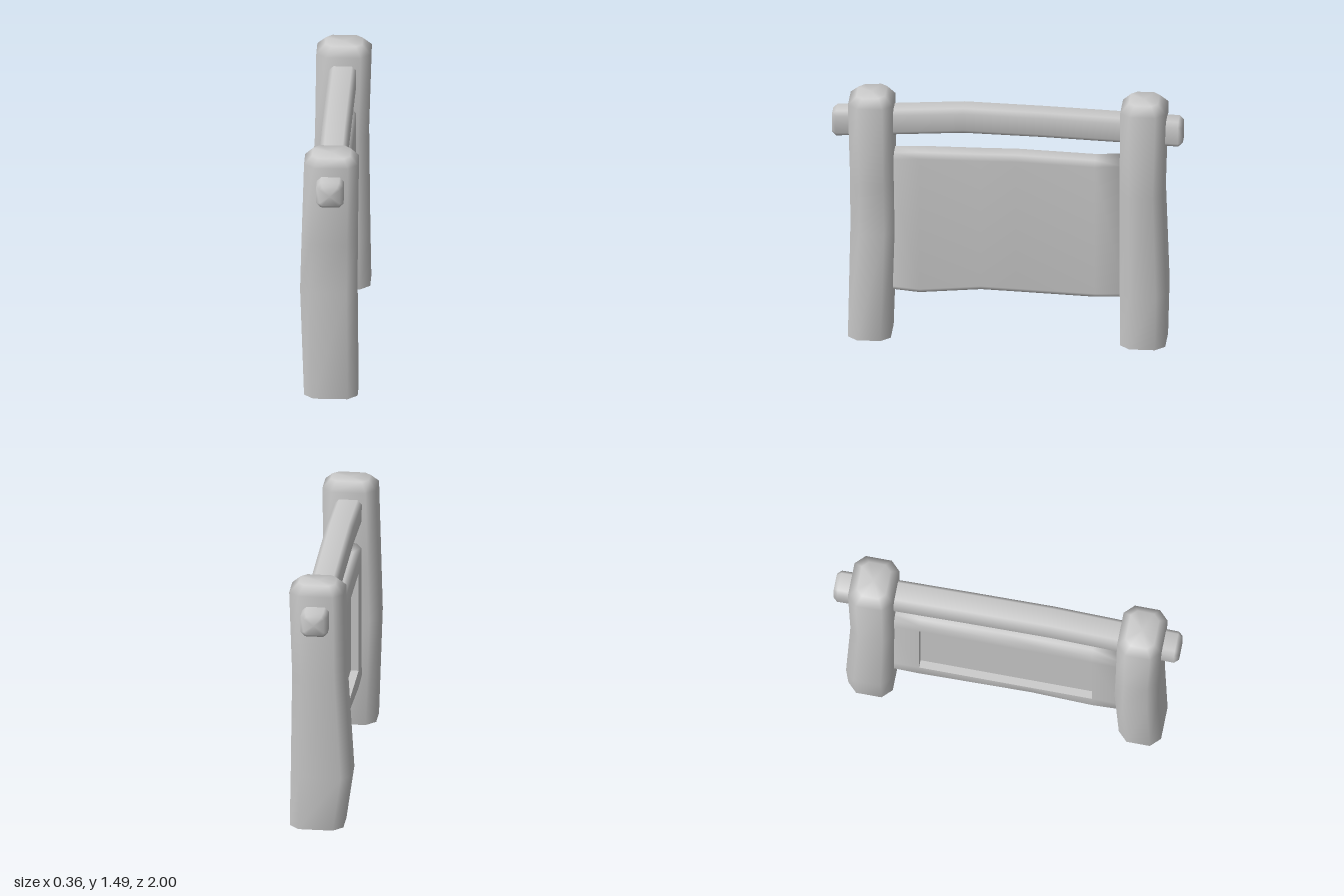
import * as THREE from 'three';

const material = new THREE.MeshStandardMaterial({ color: 0xcccccc, side: THREE.DoubleSide });

// Rectangle with cut corners, counter-clockwise in (u, v)
function octagon(u0, u1, v0, v1, c) {
  return [
    [u0 + c, v0], [u1 - c, v0], [u1, v0 + c], [u1, v1 - c],
    [u1 - c, v1], [u0 + c, v1], [u0, v1 - c], [u0, v0 + c],
  ];
}

// Skin a list of equal-length rings; optional end caps and skipped quads
function loft(rings, { capStart = false, capEnd = false, skip = () => false } = {}) {
  const n = rings[0].length;
  const points = rings.flat();
  const index = [];
  for (let i = 0; i < rings.length - 1; i++) {
    for (let j = 0; j < n; j++) {
      if (skip(i, j)) continue;
      const a = i * n + j, b = i * n + (j + 1) % n;
      index.push(a, b, b + n, a, b + n, a + n);
    }
  }
  const cap = (r, flip) => {
    const center = new THREE.Vector3();
    rings[r].forEach((p) => center.addScaledVector(p, 1 / n));
    const k = points.push(center) - 1;
    for (let j = 0; j < n; j++) {
      const a = r * n + j, b = r * n + (j + 1) % n;
      index.push(k, flip ? b : a, flip ? a : b);
    }
  };
  if (capStart) cap(0, true);
  if (capEnd) cap(rings.length - 1, false);
  const geometry = new THREE.BufferGeometry().setFromPoints(points);
  geometry.setIndex(index);
  geometry.computeVertexNormals();
  return geometry;
}

function part(name, geometry) {
  const mesh = new THREE.Mesh(geometry, material);
  mesh.name = name;
  return mesh;
}

// Upright post, open underneath; stations are [y, x0, x1, z0, z1, cut, tilt]
function post(name, stations) {
  const rings = stations.map(([y, x0, x1, z0, z1, c, tilt = 0]) =>
    octagon(z0, z1, x0, x1, c).map(([z, x]) =>
      new THREE.Vector3(x, y + tilt * (z - (z0 + z1) / 2), z)));
  return part(name, loft(rings, { capEnd: true }));
}

// Ring across the z axis
const acrossZ = (z, section) => section.map(([x, y]) => new THREE.Vector3(x, y, z));

export function createModel() {
  const group = new THREE.Group();
  group.name = 'woodenSignFrame';
  const X0 = -0.06, X1 = 0.095;

  // Two slightly crooked posts with bevelled tops
  group.add(post('frontPost', [
    [0, -0.135, 0.17, 0.66, 0.905, 0.055],
    [0.65, -0.158, 0.163, 0.64, 0.892, 0.055],
    [0.95, -0.15, 0.165, 0.645, 0.892, 0.055],
    [1.43, -0.135, 0.172, 0.65, 0.905, 0.055],
    [1.477, -0.09, 0.127, 0.695, 0.86, 0.035, -0.06],
  ]));
  group.add(post('backPost', [
    [0, -0.135, 0.172, -0.905, -0.648, 0.055],
    [0.32, -0.18, 0.166, -0.91, -0.645, 0.055],
    [0.93, -0.142, 0.16, -0.892, -0.643, 0.055],
    [1.435, -0.135, 0.175, -0.908, -0.648, 0.055],
    [1.485, -0.085, 0.125, -0.86, -0.695, 0.035],
  ]));

  // Bowed top rail that pokes through both posts: [z, y0, y1, inset]
  const rail = [
    [-1, 1.22, 1.37, 0.02], [-0.975, 1.22, 1.37, 0], [-0.65, 1.235, 1.383, 0],
    [-0.2, 1.252, 1.4, 0], [0.25, 1.262, 1.412, 0], [0.65, 1.238, 1.388, 0],
    [0.975, 1.22, 1.372, 0], [1, 1.22, 1.372, 0.02],
  ];
  group.add(part('topRail', loft(
    rail.map(([z, y0, y1, i]) =>
      acrossZ(z, octagon(X0 + i, X1 - i, y0 + i, y1 - i, i ? 0.015 : 0.025))),
    { capStart: true, capEnd: true },
  )));

  // Wavy panel with an opening on its -x face: [z, y0, y1]
  const low = 0.4, high = 1.0, half = 0.5, depth = 0.045;
  const panel = [
    [-0.67, 0.281, 1.125], [-half, 0.273, 1.115], [-0.05, 0.29, 1.132],
    [0.15, 0.297, 1.13], [half, 0.266, 1.13], [0.67, 0.282, 1.122],
  ];
  const panelRings = panel.map(([z, y0, y1]) => {
    const section = octagon(X0, X1, y0, y1, 0.03);
    section.splice(7, 0, [X0, high], [X0, low]);
    return acrossZ(z, section);
  });
  group.add(part('panel', loft(panelRings, {
    capStart: true, capEnd: true,
    skip: (i, j) => j === 7 && i >= 1 && i <= 3,
  })));

  // Recess: a shallow box turned inside out, without its -x side
  const recess = new THREE.BoxGeometry(depth, high - low, 2 * half);
  const faces = Array.from(recess.index.array);
  faces.splice(6, 6);
  recess.setIndex(faces.reverse());
  recess.computeVertexNormals();
  recess.translate(X0 + depth / 2, (low + high) / 2, 0);
  group.add(part('panelRecess', recess));

  return group;
}
